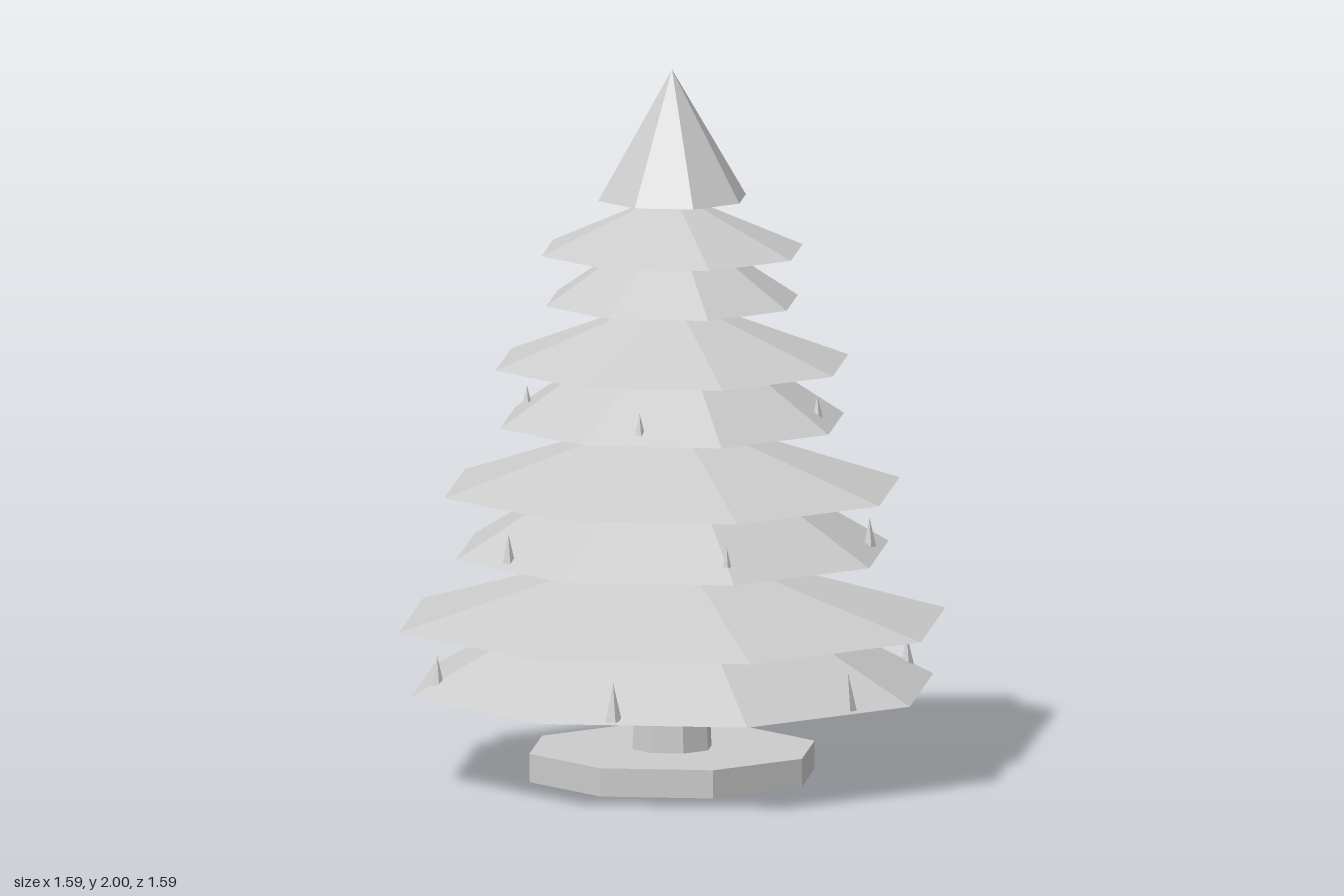
import * as THREE from 'three';

const SIDES = 8;
const material = new THREE.MeshStandardMaterial({ color: 0xcccccc, flatShading: true });

export function createModel() {
  const tree = new THREE.Group();
  tree.name = 'tree';

  // Tapered prism standing between two heights; a zero top radius makes a cone
  function addTaper(parent, name, rBottom, rTop, y0, y1, sides = SIDES, x = 0, z = 0) {
    const geometry = rTop > 0
      ? new THREE.CylinderGeometry(rTop, rBottom, y1 - y0, sides)
      : new THREE.ConeGeometry(rBottom, y1 - y0, sides);
    const mesh = new THREE.Mesh(geometry, material);
    mesh.name = name;
    mesh.position.set(x, (y0 + y1) / 2, z);
    parent.add(mesh);
    return mesh;
  }

  // Stand and trunk
  addTaper(tree, 'stand', 0.415, 0.415, 0, 0.08);
  addTaper(tree, 'trunk', 0.115, 0.1, 0.08, 0.4);

  // Branch tiers: each a steep lower skirt under a flatter, wider upper skirt
  const tiers = [
    { lower: [0.76, 0.255, 0.655], upper: [0.795, 0.44, 0.67] },
    { lower: [0.63, 0.637, 1.012], upper: [0.662, 0.815, 1.035] },
    { lower: [0.5, 1.005, 1.337], upper: [0.513, 1.17, 1.365] },
    { lower: [0.366, 1.345, 1.59], upper: [0.38, 1.488, 1.655] },
  ];
  tiers.forEach(({ lower, upper }, i) => {
    const tier = new THREE.Group();
    tier.name = `branchTier${i + 1}`;
    addTaper(tier, 'lowerSkirt', lower[0], 0, lower[1], lower[2]);
    addTaper(tier, 'upperSkirt', upper[0], 0, upper[1], upper[2]);
    tree.add(tier);
  });

  // Pointed crown
  addTaper(tree, 'crown', 0.215, 0, 1.637, 2);

  // Rings of small pointed candles on the three lowest tiers
  const rings = [
    { count: 6, radius: 0.683, start: 0, y0: 0.262, y1: 0.37, size: 0.025 },
    { count: 5, radius: 0.552, start: Math.PI / 10, y0: 0.652, y1: 0.735, size: 0.019 },
    { count: 4, radius: 0.416, start: 0.5, y0: 1.026, y1: 1.092, size: 0.017 },
  ];
  rings.forEach(({ count, radius, start, y0, y1, size }, i) => {
    const ring = new THREE.Group();
    ring.name = `candleRing${i + 1}`;
    for (let k = 0; k < count; k++) {
      const a = start + (k / count) * Math.PI * 2;
      addTaper(ring, 'candle', size, 0, y0, y1, 5, radius * Math.cos(a), radius * Math.sin(a));
    }
    tree.add(ring);
  });

  return tree;
}
